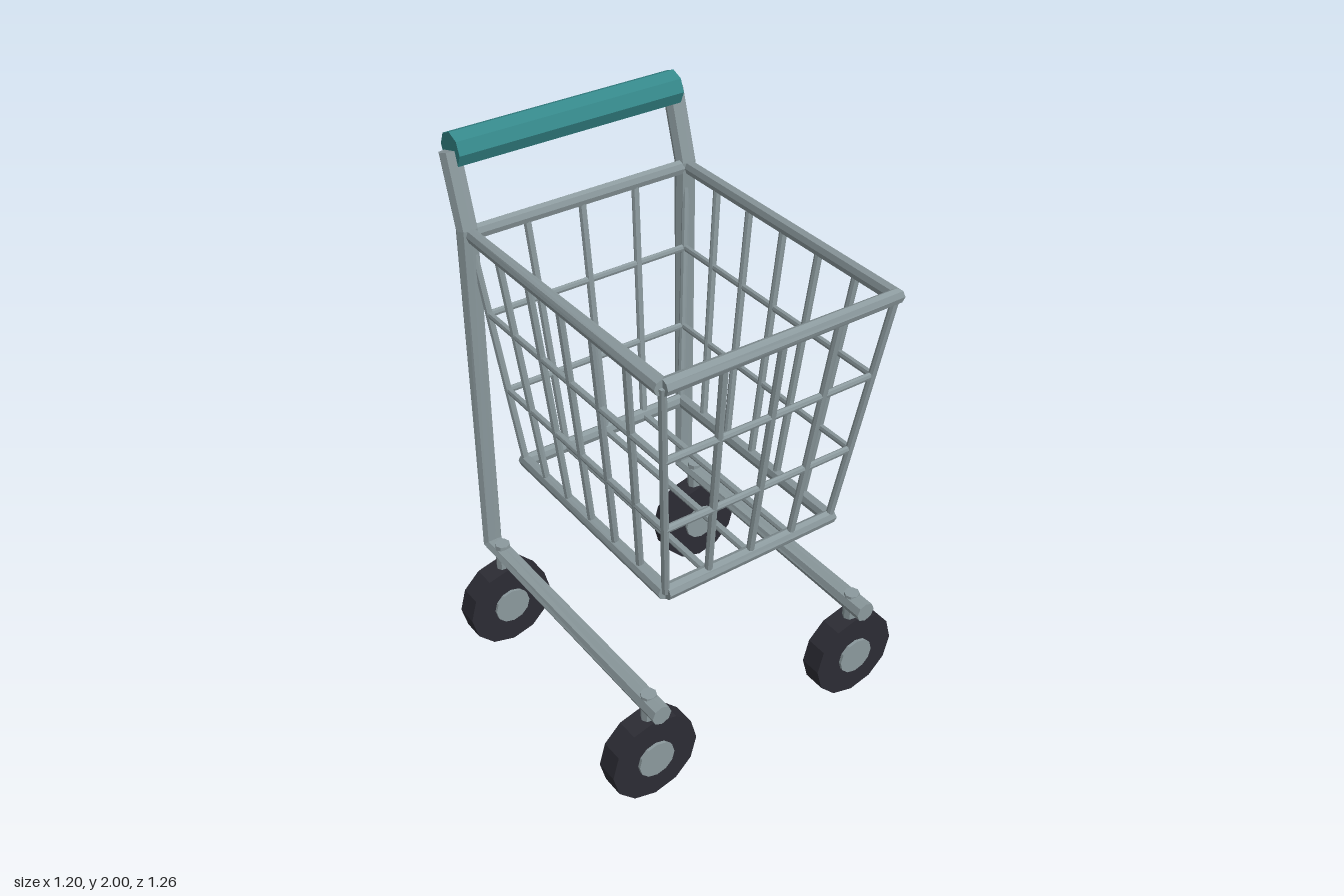
import * as THREE from 'three';

const material = (name, color) => {
  const m = new THREE.MeshStandardMaterial({ color });
  m.name = name;
  return m;
};

// Faceted normals for a low-poly look
function faceted(geometry) {
  const g = geometry.index ? geometry.toNonIndexed() : geometry;
  g.computeVertexNormals();
  return g;
}

// Capped tube along a polyline; each ring lies in the plane that bisects its corner
function tubeGeometry(points, radius, normal, sides = 8) {
  const path = points.map((p) => new THREE.Vector3(...p));
  const last = path.length - 1;
  const positions = [];
  const index = [];
  const direction = (i) => path[i + 1].clone().sub(path[i]).normalize();
  path.forEach((p, i) => {
    const t = direction(Math.min(i, last - 1));
    if (i > 0 && i < last) t.add(direction(i - 1)).normalize();
    const n = new THREE.Vector3(...normal);
    n.addScaledVector(t, -n.dot(t)).normalize();
    const b = t.clone().cross(n);
    for (let j = 0; j < sides; j++) {
      const a = (j / sides) * Math.PI * 2;
      const v = p.clone().addScaledVector(n, radius * Math.cos(a)).addScaledVector(b, radius * Math.sin(a));
      positions.push(v.x, v.y, v.z);
    }
  });
  for (let i = 0; i < last; i++) {
    for (let j = 0; j < sides; j++) {
      const k = (j + 1) % sides;
      const a = i * sides + j, b = i * sides + k;
      index.push(a, b, b + sides, a, b + sides, a + sides);
    }
  }
  const end = last * sides;
  for (let j = 1; j < sides - 1; j++) {
    index.push(0, j + 1, j, end, end + j, end + j + 1);
  }
  const g = new THREE.BufferGeometry();
  g.setAttribute('position', new THREE.Float32BufferAttribute(positions, 3));
  g.setIndex(index);
  return faceted(g);
}

export function createModel() {
  const steel = material('steel', 0x8b999d);
  const teal = material('teal grip', 0x35888a);
  const rubber = material('dark rubber', 0x2c2c34);
  const model = new THREE.Group();
  model.name = 'cart';

  const add = (parent, name, geometry, mat) => {
    const mesh = new THREE.Mesh(geometry, mat);
    mesh.name = name;
    parent.add(mesh);
    return mesh;
  };
  const tube = (parent, name, points, radius, normal, mat = steel) =>
    add(parent, name, tubeGeometry(points, radius, normal), mat);

  // Basket: a tapered box, t = 0 at the floor and 1 at the top rim
  const basket = new THREE.Group();
  basket.name = 'basket';
  model.add(basket);
  const lerp = THREE.MathUtils.lerp;
  const wire = 0.0135;
  const level = (t) => ({
    x: lerp(0.335, 0.432, t),
    y: lerp(0.79, 1.675, t),
    front: lerp(0.48, 0.602, t),
    back: lerp(-0.375, -0.487, t),
  });
  // u runs from -1 to 1 across the width, v from 0 (front) to 1 (back)
  const at = (u, v, t) => {
    const l = level(t);
    return [u * l.x, l.y, lerp(l.front, l.back, v)];
  };

  // Horizontal hoops
  const hoops = [['bottomRim', 0, 0.028], ['lowerHoop', 1 / 3, wire], ['upperHoop', 2 / 3, wire], ['topRim', 1, 0.028]];
  for (const [name, t, r] of hoops) {
    const loop = [at(-1, 0, t), at(1, 0, t), at(1, 1, t), at(-1, 1, t), at(-1, 0, t)];
    tube(basket, name, loop, r, [0, 1, 0]);
  }

  // Upright wires: corners and thirds of the front and back, then the two sides
  for (const v of [0, 1]) {
    for (const u of [-1, -0.5, 0, 0.5, 1]) {
      tube(basket, v ? 'backWire' : 'frontWire', [at(u, v, 0), at(u, v, 1)], wire, [1, 0, 0]);
    }
  }
  for (const u of [-1, 1]) {
    for (let i = 1; i < 6; i++) {
      tube(basket, u > 0 ? 'leftWire' : 'rightWire', [at(u, i / 6, 0), at(u, i / 6, 1)], wire, [0, 0, 1]);
    }
  }

  // Floor wires
  for (const u of [-0.5, 0, 0.5]) {
    tube(basket, 'floorWire', [at(u, 0, 0), at(u, 1, 0)], wire, [0, 1, 0]);
  }

  // Side frames: bottom rail, post and the bent arm in one tube
  const wheelX = 0.433;
  for (const s of [-1, 1]) {
    const x = s * wheelX;
    const path = [[x, 0.397, 0.6], [x, 0.397, -0.49], [x, 1.69, -0.497], [x, 1.935, -0.573]];
    tube(model, s > 0 ? 'leftFrame' : 'rightFrame', path, 0.037, [1, 0, 0]);

    // Casters
    for (const z of [0.52, -0.418]) {
      const caster = new THREE.Group();
      caster.name = (z > 0 ? 'front' : 'back') + (s > 0 ? 'Left' : 'Right') + 'Caster';
      caster.position.set(x, 0.168, z);
      model.add(caster);
      const wheel = new THREE.CylinderGeometry(0.168, 0.168, 0.082, 12).rotateX(Math.PI / 2);
      add(caster, 'wheel', faceted(wheel), rubber);
      const hub = new THREE.CylinderGeometry(0.07, 0.07, 0.03, 12).rotateX(Math.PI / 2);
      add(caster, 'hub', faceted(hub), steel).position.z = 0.037;
      const stem = new THREE.CylinderGeometry(0.028, 0.028, 0.165, 8);
      add(caster, 'stem', faceted(stem), steel).position.set(0, 0.184, 0.003);
    }
  }

  // Push handle
  tube(model, 'handle', [[-0.433, 1.939, -0.567], [0.433, 1.939, -0.567]], 0.061, [0, 1, 0], teal);

  return model;
}
